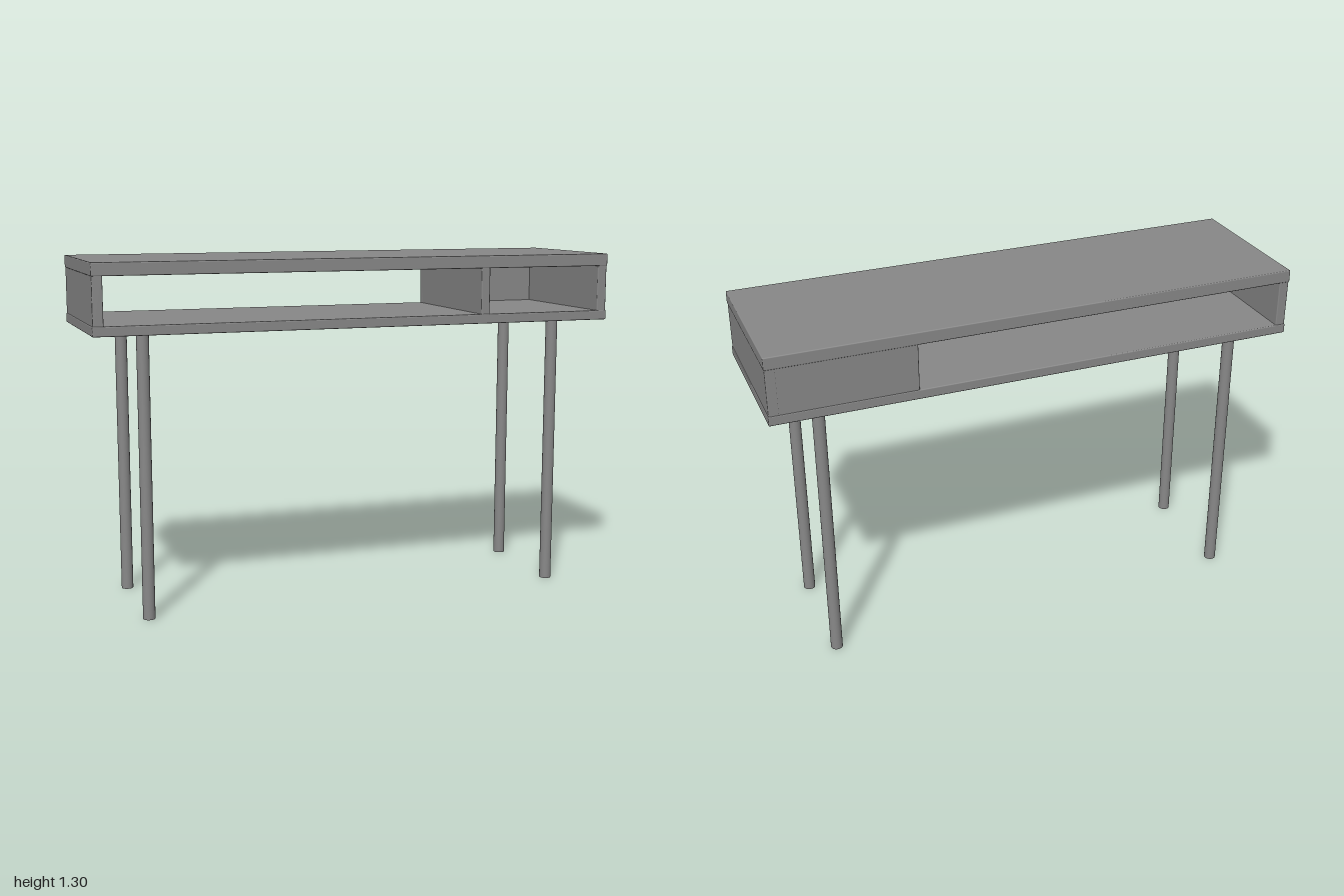
import * as THREE from 'three';
import { RoundedBoxGeometry } from 'three/addons/geometries/RoundedBoxGeometry.js';

export function createModel() {
  const group = new THREE.Group();
  const material = new THREE.MeshStandardMaterial({ color: 0x888888 });

  function add(name, geometry, x, y, z) {
    const mesh = new THREE.Mesh(geometry, material);
    mesh.name = name;
    mesh.position.set(x, y, z);
    group.add(mesh);
  }

  // Board given by its limits on each axis, with slightly eased edges
  function board(name, [x0, x1], [y0, y1], [z0, z1]) {
    const geometry = new RoundedBoxGeometry(x1 - x0, y1 - y0, z1 - z0, 2, 0.004);
    add(name, geometry, (x0 + x1) / 2, (y0 + y1) / 2, (z0 + z1) / 2);
  }

  const bottom = 1.045, floor = 1.081, ceiling = 1.253, top = 1.3;
  const depth = [-0.298, 0.298];
  // Uprights are let into the boards a little so the joints close
  const inner = [floor - 0.005, ceiling + 0.005];

  // Table top and shelf
  board('tableTop', [-1, 1], [ceiling, top], depth);
  board('shelf', [-1, 1], [bottom, floor], depth);

  // Uprights between them
  board('rightSide', [-0.998, -0.96], inner, [-0.296, 0.296]);
  board('leftSide', [0.96, 0.998], inner, [-0.296, 0.296]);
  board('divider', [0.465, 0.5], inner, [-0.275, 0.296]);

  // Back of the small compartment, butted against the left side
  board('compartmentBack', [0.465, 0.965], inner, [-0.296, -0.27]);

  // Round legs
  const legGeometry = new THREE.CylinderGeometry(0.0225, 0.0225, bottom, 32);
  for (const x of [-0.81, 0.81]) {
    for (const z of [-0.209, 0.209]) add('leg', legGeometry, x, bottom / 2, z);
  }

  return group;
}
